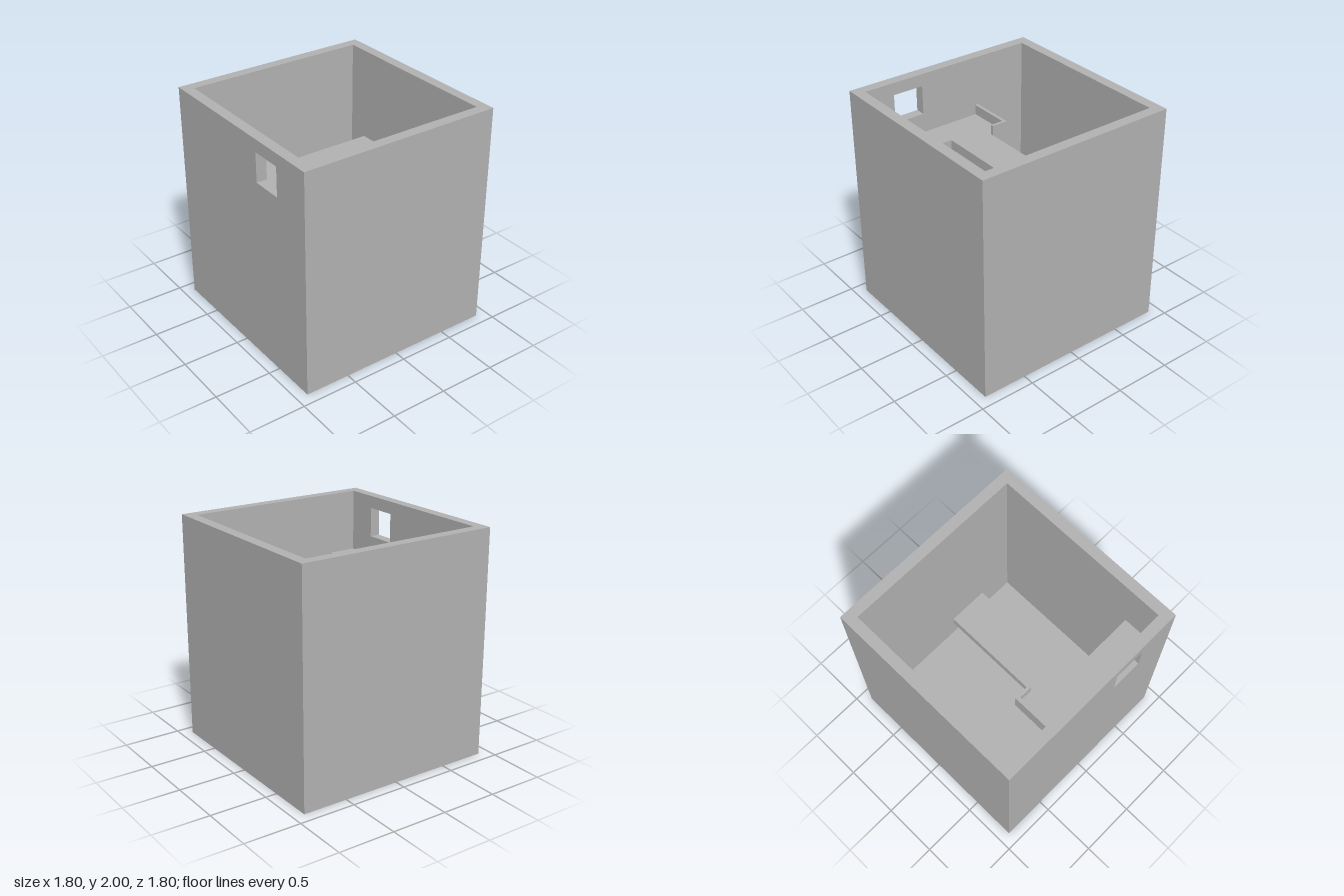
import * as THREE from 'three';
import { mergeGeometries } from 'three/addons/utils/BufferGeometryUtils.js';

const OUT = 0.9, IN = 0.807, TOP = 2, FLOOR = 0.09;
const WIN = { z0: 0.26, z1: 0.54, y0: 1.63, y1: 1.89 };
const DECK = 1.455;

const polygon = (pts) => new THREE.Shape(pts.map(([x, y]) => new THREE.Vector2(x, y)));
const rect = (x0, y0, x1, y1) => polygon([[x0, y0], [x1, y0], [x1, y1], [x0, y1]]);

// Flat panel facing +z, with an optional rectangular hole
function panel(x0, y0, x1, y1, hole) {
  const shape = rect(x0, y0, x1, y1);
  if (hole) shape.holes.push(rect(...hole));
  return new THREE.ShapeGeometry(shape);
}

// Plan outline given as [x, z], raised from y0 to y1
function plan(pts, y0, y1) {
  const shape = polygon(pts.map(([x, z]) => [x, -z]));
  return new THREE.ExtrudeGeometry(shape, { depth: y1 - y0, bevelEnabled: false })
    .rotateX(-Math.PI / 2).translate(0, y0, 0);
}

function shellGeometry() {
  const { z0, z1, y0, y1 } = WIN;
  const q = Math.PI / 2;
  const parts = [];
  // Outer and inner wall faces; the -x wall has the window
  for (let k = 0; k < 4; k++) {
    const outerHole = k === 3 ? [z0, y0, z1, y1] : null;
    const innerHole = k === 1 ? [-z1, y0, -z0, y1] : null;
    parts.push(panel(-OUT, 0, OUT, TOP, outerHole).translate(0, 0, OUT).rotateY(k * q));
    parts.push(panel(-IN, FLOOR, IN, TOP, innerHole).translate(0, 0, -IN).rotateY(k * q));
  }
  // Rim, floor and underside
  parts.push(panel(-OUT, -OUT, OUT, OUT, [-IN, -IN, IN, IN]).rotateX(-q).translate(0, TOP, 0));
  parts.push(panel(-IN, -IN, IN, IN).rotateX(-q).translate(0, FLOOR, 0));
  parts.push(panel(-OUT, -OUT, OUT, OUT).rotateX(q));
  // Window sill, lintel and jambs
  parts.push(panel(-OUT, -z1, -IN, -z0).rotateX(-q).translate(0, y0, 0));
  parts.push(panel(-OUT, z0, -IN, z1).rotateX(q).translate(0, y1, 0));
  parts.push(panel(-OUT, y0, -IN, y1).translate(0, 0, z0));
  parts.push(panel(IN, y0, OUT, y1).rotateY(2 * q).translate(0, 0, z1));
  return mergeGeometries(parts);
}

export function createModel() {
  const group = new THREE.Group();
  group.name = 'openRoom';
  const grey = new THREE.MeshStandardMaterial({ color: 0xb2b2b2 });
  grey.name = 'plain grey';

  const add = (name, geometry) => {
    const mesh = new THREE.Mesh(geometry, grey);
    mesh.name = name;
    group.add(mesh);
  };

  add('walls', shellGeometry());

  // Raised deck along the window wall with a walkway into the room
  add('deck', plan([
    [-IN, -0.32], [-0.395, -0.32], [-0.395, -0.17], [0.455, -0.17],
    [0.455, 0.16], [-0.545, 0.16], [-0.545, IN], [-IN, IN],
  ], DECK - 0.09, DECK));

  // Low L-shaped guard at the deck's rear corner
  add('parapet', plan([
    [-IN, -0.32], [-0.395, -0.32], [-0.395, -0.17],
    [-0.42, -0.17], [-0.42, -0.29], [-IN, -0.29],
  ], DECK, DECK + 0.09));

  return group;
}
